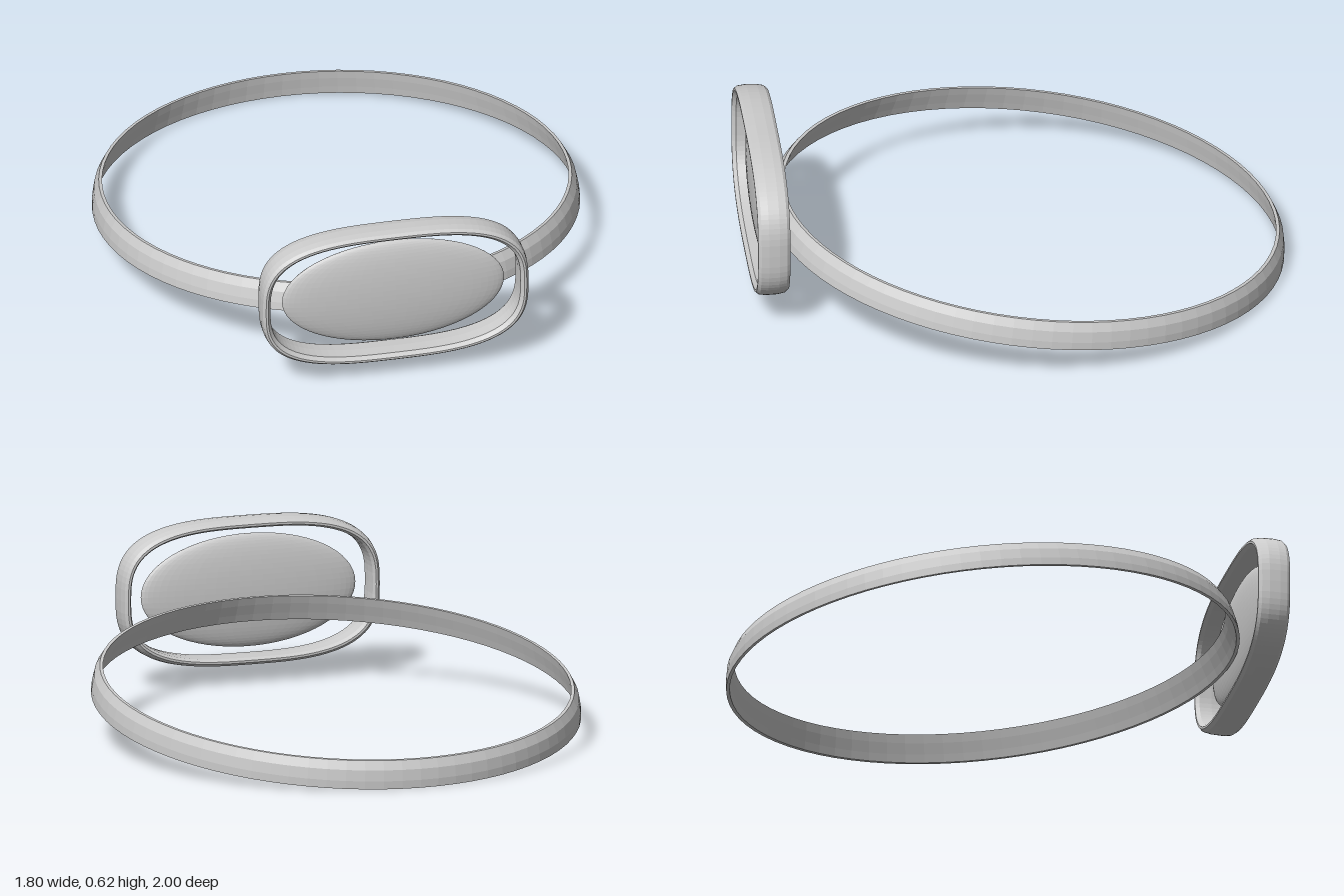
import * as THREE from 'three';

const silver = new THREE.MeshStandardMaterial({ color: 0xcccccc, flatShading: true });
silver.name = 'silver';

// Closed ring from a cross-section of [radius, height] points
function ring(section, segments) {
  const pts = [...section, section[0]].map(([r, h]) => new THREE.Vector2(r, h));
  return new THREE.LatheGeometry(pts, segments);
}

function part(name, geometry) {
  const mesh = new THREE.Mesh(geometry, silver);
  mesh.name = name;
  return mesh;
}

export function createModel() {
  const model = new THREE.Group();
  model.name = 'signetRing';

  // Band: thin, slightly oval hoop that flares at the bottom and rises to the front
  const bandGeo = ring([
    [0.9, 0], [0.898, 0.03], [0.89, 0.07], [0.872, 0.102],
    [0.86, 0.102], [0.868, 0.07], [0.88, 0.03], [0.888, 0],
  ], 80);
  bandGeo.scale(1, 1, 1.066);
  const band = part('band', bandGeo);
  band.rotation.x = -THREE.MathUtils.degToRad(7.1);
  band.position.set(0, 0.119, -0.047);
  model.add(band);

  // Frame: section radii are offsets from 1, carried onto a rounded-rectangle outline
  const frameGeo = ring([
    [0.984, 0.88], [0.994, 0.892], [0.999, 0.92], [1, 0.96], [0.997, 0.988], [0.988, 1],
    [0.98, 1], [0.968, 0.985], [0.966, 0.94], [0.968, 0.895], [0.976, 0.88],
  ], 96);
  frameGeo.rotateX(Math.PI / 2);
  const p = frameGeo.attributes.position;
  const curve = (v) => Math.sign(v) * Math.abs(v) ** (2 / 3);
  for (let i = 0; i < p.count; i++) {
    const x = p.getX(i), y = p.getY(i), r = Math.hypot(x, y);
    p.setXY(i, (0.505 + r - 1) * curve(x / r), (0.277 + r - 1) * curve(y / r));
  }
  frameGeo.computeVertexNormals();
  const frame = part('frame', frameGeo);
  frame.position.y = 0.343;
  model.add(frame);

  // Oval stone: flat ellipsoid in the middle of the frame
  const stoneGeo = new THREE.SphereGeometry(1, 56, 32);
  stoneGeo.scale(0.42, 0.214, 0.04);
  const stone = part('ovalStone', stoneGeo);
  stone.position.set(0, 0.345, 0.94);
  model.add(stone);

  return model;
}
